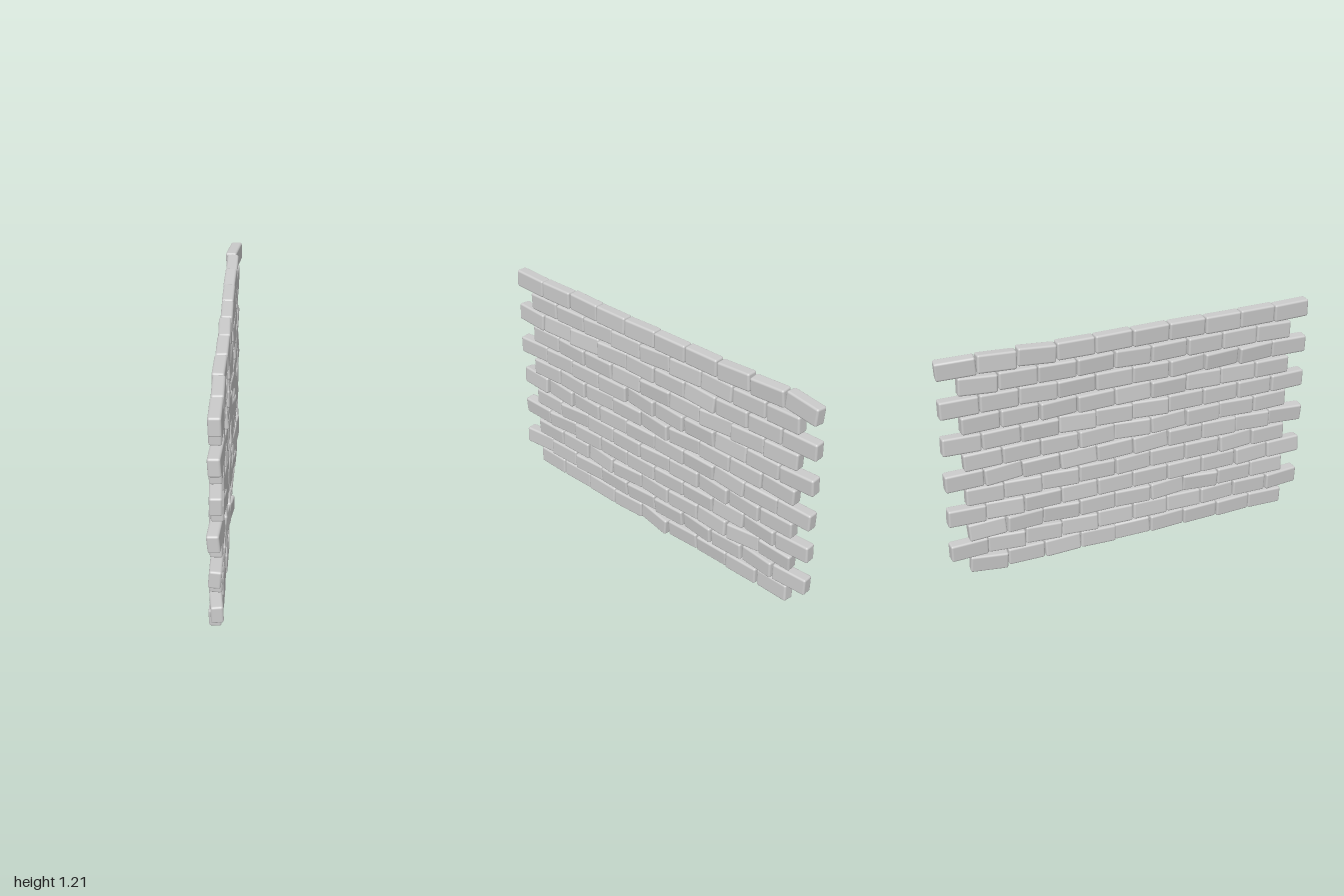
import * as THREE from 'three';
import { RoundedBoxGeometry } from 'three/addons/geometries/RoundedBoxGeometry.js';

const ROWS = 12, PITCH_Y = 0.1002, PITCH_Z = 0.1995, BASE_Y = 0.063;

// Noticeable rolls in degrees, per row: { brick index from the +z end: roll }
const ROLLS = [
  { 1: -1, 2: -1.5, 4: -4.5, 5: 2, 6: -1, 8: 4 },
  { 1: 1, 4: 2, 5: 1.5, 7: 3, 8: 0.5 },
  { 3: -1, 6: 1, 7: 2, 8: -2.5 },
  { 0: -1, 3: -1, 9: 2 },
  { 0: -1, 5: 1, 8: 1 },
  { 0: 1, 4: -2, 5: -2, 6: -2, 7: -3, 8: -3 },
  { 3: -2, 7: -1, 8: -2 },
  { 6: 2, 8: -1, 9: 2 },
  { 2: 1, 5: -1, 7: 1 },
  { 0: -1, 1: -1, 3: -1, 6: -2.5, 7: 2, 8: 1 },
  { 0: 1, 4: 3, 7: 1, 8: 3 },
  { 0: -1.5, 7: 4, 8: 3, 9: -3 },
];
const TOP_YAWS = [0, 1, -1, 0, 2, 1, 0, -1, 0, -7];

// Small seeded jitter in -1..1, weighted towards zero
let seed = 17;
function jitter() {
  seed = (seed * 16807) % 2147483647;
  const t = (seed / 2147483647) * 2 - 1;
  return t * Math.abs(t);
}

export function createModel() {
  const wall = new THREE.Group();
  wall.name = 'brickWall';
  const brickGeometry = new RoundedBoxGeometry(0.06, 0.094, 0.196, 2, 0.011);
  const material = new THREE.MeshStandardMaterial({ color: 0xcccccc });
  const rad = THREE.MathUtils.degToRad;

  // Running bond: rows of nine and ten bricks alternate
  for (let r = 0; r < ROWS; r++) {
    const course = new THREE.Group();
    course.name = `course${r + 1}`;
    const count = r % 2 ? 10 : 9;
    for (let i = 0; i < count; i++) {
      const brick = new THREE.Mesh(brickGeometry, material);
      brick.name = `brick${i + 1}`;
      const z = ((count - 1) / 2 - i) * PITCH_Z;
      brick.position.set(jitter() * 0.004, BASE_Y + r * PITCH_Y, z);
      const yaw = r === ROWS - 1 ? TOP_YAWS[i] : jitter() * 7;
      brick.rotation.set(rad(ROLLS[r][i] ?? jitter() * 0.6), rad(yaw), rad(jitter() * 6));
      course.add(brick);
    }
    wall.add(course);
  }
  return wall;
}
